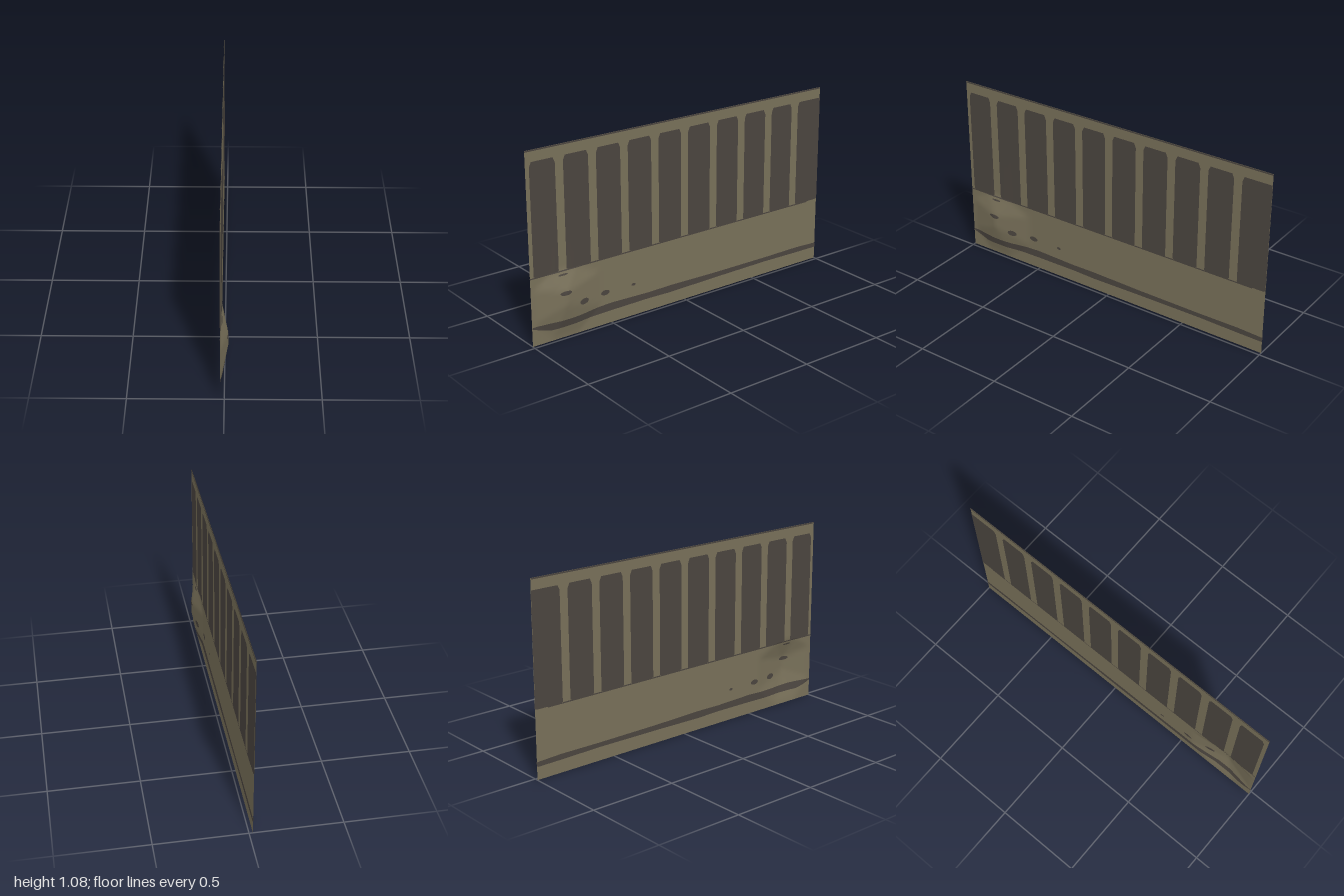
import * as THREE from 'three';

const HEIGHT = 1.075, BASE_X = -0.02, PROUD = 0.002;

// Depth of the sheet: flat, with one faceted dent ridge near the +z end
function sheetX(z, y) {
  const u = z > 0.8 ? (z - 0.8) / 0.185 : (0.8 - z) / 0.23;
  const v = y > 0.27 ? (y - 0.27) / 0.12 : y < 0.2 ? (0.2 - y) / 0.19 : 0;
  const d = Math.max(u, v, 0.72 * (u + v));
  return BASE_X + 0.04 * Math.max(0, 1 - d);
}

// A strip following the sheet, from stations [z, low y, high y]
function strip(stations, rows, offset) {
  const step = 0.02, cols = [];
  stations.forEach((s, i) => {
    if (i === 0) { cols.push(s); return; }
    const p = stations[i - 1];
    const n = Math.max(1, Math.round(Math.abs(s[0] - p[0]) / step));
    for (let k = 1; k <= n; k++) cols.push(s.map((val, j) => p[j] + (val - p[j]) * k / n));
  });
  const pos = [], idx = [];
  cols.forEach(([z, lo, hi], i) => {
    for (let j = 0; j <= rows; j++) {
      const y = lo + (hi - lo) * j / rows;
      pos.push(sheetX(z, y) + offset, y, z);
      if (i && j) {
        const d = i * (rows + 1) + j, c = d - 1, b = d - rows - 1, a = b - 1;
        idx.push(a, c, d, a, d, b);
      }
    }
  });
  const geo = new THREE.BufferGeometry();
  geo.setAttribute('position', new THREE.Float32BufferAttribute(pos, 3));
  geo.setIndex(idx);
  geo.computeVertexNormals();
  return geo;
}

export function createModel() {
  const group = new THREE.Group();
  const tan = new THREE.MeshStandardMaterial({ name: 'weathered tan', color: 0x787059, side: THREE.DoubleSide });
  const dark = new THREE.MeshStandardMaterial({ name: 'dark brown', color: 0x4b453f, side: THREE.DoubleSide });

  const add = (name, geo, mat) => {
    const mesh = new THREE.Mesh(geo, mat);
    mesh.name = name;
    group.add(mesh);
  };
  // Painted details appear on both faces of the sheet
  const paint = (name, stations, rows = 2) => {
    for (const side of [1, -1]) add(name, strip(stations, rows, side * PROUD), dark);
  };

  // Wall sheet
  add('wallSheet', strip([[1, 0, HEIGHT], [-1, 0, HEIGHT]], 54, 0), tan);

  // Row of tall dark panels; the last one runs to the end of the wall
  for (let i = 0; i < 10; i++) {
    const z0 = 0.978 - i * 0.2007;
    const z1 = i === 9 ? -1 : z0 - 0.152;
    const c = 0.012;
    paint('panel', [
      [z0, 0.39, 0.985], [z0 - c, 0.385, 1.012],
      [z1 + c, 0.385, 1.012], [z1, 0.39, i === 9 ? 1.012 : 0.985],
    ], 4);
  }

  // Thin lines along the top and under the panels
  paint('topLine', [[1, 1.067, HEIGHT], [-1, 1.067, HEIGHT]], 1);
  paint('sillLine', [[1, 0.38, 0.387], [-0.92, 0.38, 0.387]], 1);

  // Uneven band near the foot of the wall
  paint('footBand', [
    [1, 0.1, 0.108], [0.95, 0.082, 0.109], [0.89, 0.066, 0.11], [0.7, 0.068, 0.108],
    [0.5, 0.072, 0.117], [0.25, 0.074, 0.11], [0.1, 0.07, 0.112], [-0.2, 0.075, 0.106],
    [-0.6, 0.078, 0.104], [-0.85, 0.074, 0.106], [-1, 0.073, 0.1],
  ], 4);

  // Small worn spots: z, y, half width, half height
  const spots = [
    [0.806, 0.268, 0.035, 0.012], [0.806, 0.364, 0.03, 0.005], [0.685, 0.184, 0.03, 0.017],
    [0.538, 0.186, 0.028, 0.015], [0.352, 0.185, 0.013, 0.008],
  ];
  for (const [z, y, w, h] of spots) {
    const stations = [];
    for (let k = 0; k <= 8; k++) {
      const a = Math.PI * k / 8, r = h * Math.sin(a);
      stations.push([z + w * Math.cos(a), y - r, y + r]);
    }
    paint('wornSpot', stations);
  }
  return group;
}
